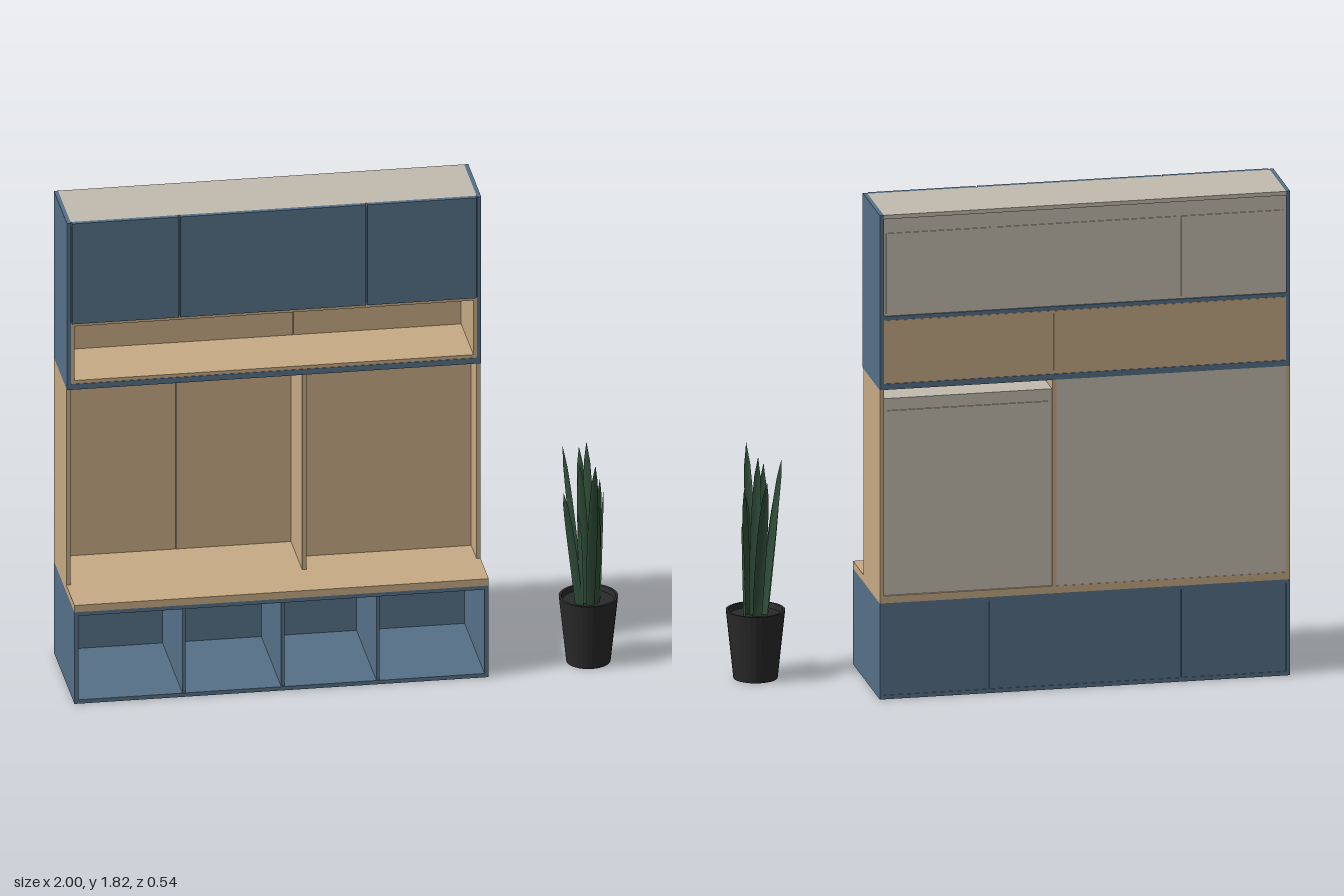
import * as THREE from 'three';

const mat = (name, color, side = THREE.FrontSide) => {
  const m = new THREE.MeshStandardMaterial({ color, side });
  m.name = name;
  return m;
};

export function createModel() {
  const blue = mat('slate blue paint', 0x567088);
  const wood = mat('light oak', 0xc6aa84);
  const grey = mat('bare board', 0xc2bbae);
  const black = mat('black pot', 0x2a2a2a, THREE.DoubleSide);
  const green = mat('leaf green', 0x31503a, THREE.DoubleSide);

  const model = new THREE.Group();
  model.name = 'hallway cabinet with plant';
  const group = (name) => {
    const g = new THREE.Group();
    g.name = name;
    model.add(g);
    return g;
  };
  // Box given by its limits on each axis
  const board = (parent, name, m, [x0, x1], [y0, y1], [z0, z1]) => {
    const mesh = new THREE.Mesh(new THREE.BoxGeometry(x1 - x0, y1 - y0, z1 - z0), m);
    mesh.position.set((x0 + x1) / 2, (y0 + y1) / 2, (z0 + z1) / 2);
    mesh.name = name;
    parent.add(mesh);
  };

  const L = -1, R = 0.51, T = 0.015, BACK = -0.265;
  const inner = [L + T, R - T];
  const sides = [[L, L + T], [R - T, R]];

  // Bench with four open cubbies
  const bench = group('bench');
  const benchZ = [BACK, 0.2];
  board(bench, 'benchFloor', blue, inner, [0, T], benchZ);
  board(bench, 'benchCeiling', blue, inner, [0.345, 0.36], benchZ);
  for (const s of sides) board(bench, 'benchSide', blue, s, [0, 0.36], benchZ);
  for (const x of [-0.6, -0.24, 0.107])
    board(bench, 'cubbyDivider', blue, [x - 0.006, x + 0.006], [T, 0.345], [BACK + 0.01, 0.195]);
  const benchBacks = [inner[0], -0.6, 0.107, inner[1]];
  for (let i = 0; i < 3; i++)
    board(bench, 'benchBack', blue, [benchBacks[i] + 0.001, benchBacks[i + 1] - 0.001],
      [T, 0.345], [BACK + 0.003, BACK + 0.012]);
  board(bench, 'benchSeat', wood, [L, R], [0.36, 0.387], benchZ);

  // Coat section: oak sides, divider and lining
  const coat = group('coatSection');
  const coatY = [0.387, 1.16], coatZ = [BACK, 0.015];
  for (const s of sides) board(coat, 'coatSide', wood, s, coatY, coatZ);
  board(coat, 'coatDivider', wood, [-0.14, -0.125], coatY, coatZ);
  for (const x of [[inner[0], -0.561], [-0.559, -0.14]])
    board(coat, 'coatLining', wood, x, coatY, [-0.252, -0.24]);
  board(coat, 'coatBackBoard', grey, [inner[0], -0.14], coatY, [-0.263, -0.252]);
  board(coat, 'forwardLining', wood, [-0.125, inner[1]], coatY, [-0.115, -0.103]);
  board(coat, 'forwardBackBox', grey, [-0.125, inner[1]], [0.387, 1.125], [-0.257, -0.115]);
  board(coat, 'forwardBackPlate', grey, [-0.11, inner[1] - T], [0.42, 1.08], [-0.262, -0.257]);

  // Overhead unit: blue carcass with an oak niche under three doors
  const upper = group('overheadUnit');
  const upZ = [BACK, 0.03];
  for (const s of sides) board(upper, 'overheadSide', blue, s, [1.16, 1.815], upZ);
  board(upper, 'overheadBottom', blue, inner, [1.16, 1.182], upZ);
  board(upper, 'overheadTop', grey, inner, [1.8, 1.815], [BACK, 0.018]);
  board(upper, 'doorShelf', blue, inner, [1.42, 1.435], [BACK, 0.018]);
  board(upper, 'doorBacking', blue, inner, [1.435, 1.8], [0.005, 0.018]);
  board(upper, 'nicheFloor', wood, inner, [1.182, 1.195], [-0.262, 0.028]);
  board(upper, 'nicheCeiling', wood, inner, [1.408, 1.42], [-0.262, 0.028]);
  for (const x of [[inner[0], inner[0] + 0.013], [inner[1] - 0.013, inner[1]]])
    board(upper, 'nicheSide', wood, x, [1.195, 1.408], [-0.262, 0.028]);
  for (const x of [[inner[0], -0.131], [-0.129, inner[1]]])
    board(upper, 'nicheBack', wood, x, [1.185, 1.418], [-0.2635, -0.25]);

  // Doors at the front and matching plates on the back board
  board(upper, 'overheadBackBoard', grey, inner, [1.435, 1.8], [-0.259, -0.25]);
  const doorX = [inner[0], -0.59, 0.092, inner[1]];
  for (let i = 0; i < 3; i++) {
    const a = doorX[i], b = doorX[i + 1];
    board(upper, 'door', blue, [a + 0.003, b - 0.003], [1.42, 1.815], [0.018, 0.036]);
    board(upper, 'backPlate', grey, [a + 0.01, b - 0.01], [1.445, 1.745], [-0.263, -0.259]);
  }

  // Potted plant
  const plant = group('pottedPlant');
  plant.position.set(0.888, 0, 0.108);
  const profile = [[0, 0], [0.08, 0], [0.107, 0.255], [0.098, 0.255], [0.095, 0.235], [0, 0.235]];
  const pot = new THREE.Mesh(
    new THREE.LatheGeometry(profile.map(([r, y]) => new THREE.Vector2(r, y)), 32).toNonIndexed(), black);
  pot.geometry.computeVertexNormals();
  pot.name = 'pot';
  plant.add(pot);

  // Leaf: a tapering, folded blade swept from base to tip
  const leaf = (base, tip, width, yaw) => {
    const n = 8, pos = [], idx = [];
    const a = new THREE.Vector3(base[0], 0.235, base[1]);
    const b = new THREE.Vector3(...tip);
    const c = a.clone().lerp(b, 0.5).add(new THREE.Vector3((a.x - b.x) * 0.12, 0, (a.z - b.z) * 0.12));
    const curve = new THREE.QuadraticBezierCurve3(a, c, b);
    for (let i = 0; i <= n; i++) {
      const t = i / n, p = curve.getPoint(t);
      const w = width * (0.6 + 0.8 * t) * Math.pow(1 - t, 0.55) * 0.62;
      const cx = Math.cos(yaw), sz = Math.sin(yaw);
      for (const [u, v] of [[-w, 0], [0, w * 0.35], [w, 0]])
        pos.push(p.x + u * cx - v * sz, p.y, p.z + u * sz + v * cx);
      if (i < n) for (const k of [0, 1]) {
        const q = i * 3 + k;
        idx.push(q, q + 1, q + 3, q + 1, q + 4, q + 3);
      }
    }
    const g = new THREE.BufferGeometry();
    g.setAttribute('position', new THREE.Float32BufferAttribute(pos, 3));
    g.setIndex(idx);
    g.computeVertexNormals();
    const mesh = new THREE.Mesh(g, green);
    mesh.name = 'leaf';
    plant.add(mesh);
  };
  // base x, z; tip; width; facing
  leaf([0.0, 0.04], [0.0, 0.835, 0.162], 0.042, 0.1);
  leaf([0.0, -0.03], [-0.01, 0.775, -0.153], 0.045, 0.1);
  leaf([-0.03, -0.01], [-0.087, 0.83, -0.045], 0.04, 0.9);
  leaf([0.01, -0.01], [0.0, 0.84, -0.045], 0.046, 0.5);
  leaf([-0.04, 0.03], [-0.107, 0.71, 0.1], 0.045, 0.8);
  leaf([-0.015, 0.02], [-0.038, 0.79, 0.04], 0.046, 0.4);
  leaf([0.025, 0.01], [0.042, 0.71, 0.0], 0.045, -0.7);
  leaf([0.045, -0.02], [0.07, 0.62, -0.095], 0.035, 1.5);
  leaf([0.02, 0.03], [0.02, 0.66, 0.07], 0.044, -0.3);
  leaf([-0.03, 0.03], [-0.05, 0.62, 0.09], 0.042, 1.2);
  return model;
}
